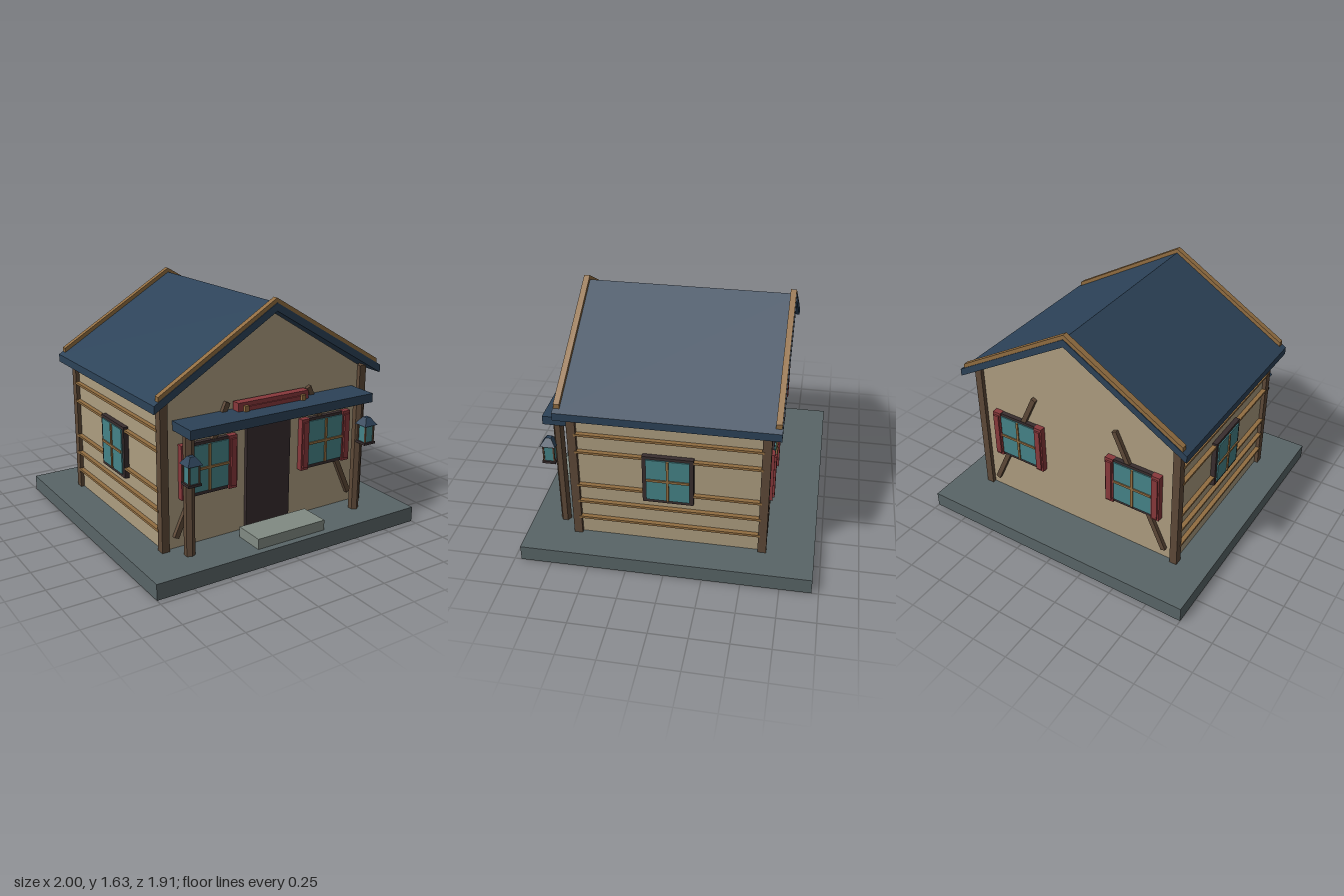
import * as THREE from 'three';

const mat = (name, color) => {
  const m = new THREE.MeshStandardMaterial({ color });
  m.name = name;
  return m;
};

export function createModel() {
  const model = new THREE.Group();
  model.name = 'cottage';
  const stone = mat('slateStone', 0x596567);
  const paleStone = mat('paleStone', 0x818b83);
  const plaster = mat('plaster', 0xad9d80);
  const navy = mat('navyRoof', 0x2c4258);
  const timber = mat('darkTimber', 0x5e4938);
  const trim = mat('goldenWood', 0x916d41);
  const red = mat('redPaint', 0x88383b);
  const dark = mat('darkWood', 0x382d2e);
  const glass = mat('tealGlass', 0x458388);

  const add = (parent, name, geo, material, x = 0, y = 0, z = 0) => {
    const mesh = new THREE.Mesh(geo, material);
    mesh.name = name;
    mesh.position.set(x, y, z);
    parent.add(mesh);
    return mesh;
  };
  const box = (parent, name, material, w, h, d, x, y, z) =>
    add(parent, name, new THREE.BoxGeometry(w, h, d), material, x, y, z);
  // Extrudes an outline along z, centred on z
  const slab = (name, material, points, depth, z) => {
    const shape = new THREE.Shape(points.map(p => new THREE.Vector2(...p)));
    const geo = new THREE.ExtrudeGeometry(shape, { depth, bevelEnabled: false });
    geo.translate(0, 0, -depth / 2);
    return add(model, name, geo, material, 0, 0, z);
  };
  // Inverted V strip following the roof pitch
  const chevron = (half, apex, thick) => {
    const eave = apex - half * 0.595;
    return [[-half, eave - thick], [0, apex - thick], [half, eave - thick],
      [half, eave], [0, apex], [-half, eave]];
  };

  // Plinth, walls and door
  box(model, 'plinth', stone, 2, 0.105, 1.91, 0, 0.0525, 0);
  slab('walls', plaster,
    [[-0.765, 0.105], [0.765, 0.105], [0.765, 1.07], [0, 1.54], [-0.765, 1.07]], 1.23, 0);
  box(model, 'door', dark, 0.34, 0.71, 0.04, 0, 0.46, 0.62);
  box(model, 'doorStep', paleStone, 0.52, 0.07, 0.21, 0, 0.14, 0.805);

  // Roof and its gable trims
  slab('roof', navy, chevron(0.86, 1.597, 0.052), 1.408, 0);
  for (const s of [-1, 1]) slab('gableTrim', trim, chevron(0.83, 1.627, 0.031), 0.038, s * 0.68);

  // Corner posts
  for (const x of [-0.765, 0.765]) for (const z of [-0.615, 0.615])
    box(model, 'cornerPost', timber, 0.052, 0.975, 0.056, x, 0.5925, z);

  // Side battens
  for (const s of [-1, 1]) for (const y of [0.24, 0.372, 0.502, 0.762, 0.893])
    box(model, 'batten', trim, 0.03, 0.016, 1.2, s * 0.78, y, 0);

  // A window facing +z, with its back on the wall plane
  const makeWindow = (shutters) => {
    const g = new THREE.Group();
    g.name = 'window';
    box(g, 'frame', dark, 0.33, 0.35, 0.034, 0, 0, 0.013);
    box(g, 'pane', glass, 0.28, 0.306, 0.008, 0, 0.002, 0.034);
    box(g, 'mullion', trim, 0.016, 0.306, 0.01, 0, 0.002, 0.041);
    box(g, 'transom', trim, 0.28, 0.016, 0.01, 0, 0.002, 0.041);
    if (shutters) for (const s of [-1, 1]) {
      box(g, 'shutter', red, 0.06, 0.355, 0.046, s * 0.172, 0, 0.019);
      box(g, 'shutterPanel', red, 0.04, 0.315, 0.012, s * 0.172, 0, 0.048);
    }
    model.add(g);
    return g;
  };
  for (const s of [-1, 1]) {
    const side = makeWindow(false);
    side.position.set(s * 0.768, 0.61, 0);
    side.rotation.y = s * Math.PI / 2;
    for (const f of [-1, 1]) {
      const w = makeWindow(true);
      w.position.set(s * 0.455, 0.61, f * 0.615);
      if (f < 0) w.rotation.y = Math.PI;
      // Slanted brace running behind the window
      const brace = box(model, 'wallBrace', timber, 0.034, 0.9, 0.03, s * 0.5, 0.59, f * 0.627);
      brace.rotation.z = s * 0.43;
    }
  }

  // Porch canopy and its posts
  box(model, 'porchCanopy', navy, 1.385, 0.06, 0.22, 0, 0.914, 0.72);
  for (const s of [-1, 1]) {
    const post = new THREE.CylinderGeometry(0.035, 0.035, 0.785, 6).toNonIndexed();
    post.computeVertexNormals();
    add(model, 'porchPost', post, timber, s * 0.653, 0.495, 0.738);
  }

  // Blank sign board over the door
  box(model, 'signBoard', red, 0.54, 0.155, 0.06, 0, 0.922, 0.66);
  box(model, 'signPanel', red, 0.4, 0.1, 0.014, 0, 0.922, 0.692);
  for (const s of [-1, 1]) box(model, 'signBracket', trim, 0.03, 0.11, 0.026, s * 0.218, 0.925, 0.7);

  // Lanterns on the porch posts
  for (const s of [-1, 1]) {
    const g = new THREE.Group();
    g.name = 'lantern';
    g.position.set(s * 0.674, 0, 0.803);
    box(g, 'lanternBase', dark, 0.09, 0.016, 0.09, 0, 0.603, 0);
    box(g, 'lanternGlass', glass, 0.066, 0.12, 0.066, 0, 0.67, 0);
    for (const x of [-1, 1]) for (const z of [-1, 1])
      box(g, 'lanternBar', timber, 0.01, 0.12, 0.01, x * 0.034, 0.67, z * 0.034);
    const cap = new THREE.CylinderGeometry(0.024, 0.074, 0.05, 4).toNonIndexed();
    cap.rotateY(Math.PI / 4);
    cap.computeVertexNormals();
    add(g, 'lanternCap', cap, navy, 0, 0.752, 0);
    model.add(g);
  }
  return model;
}
